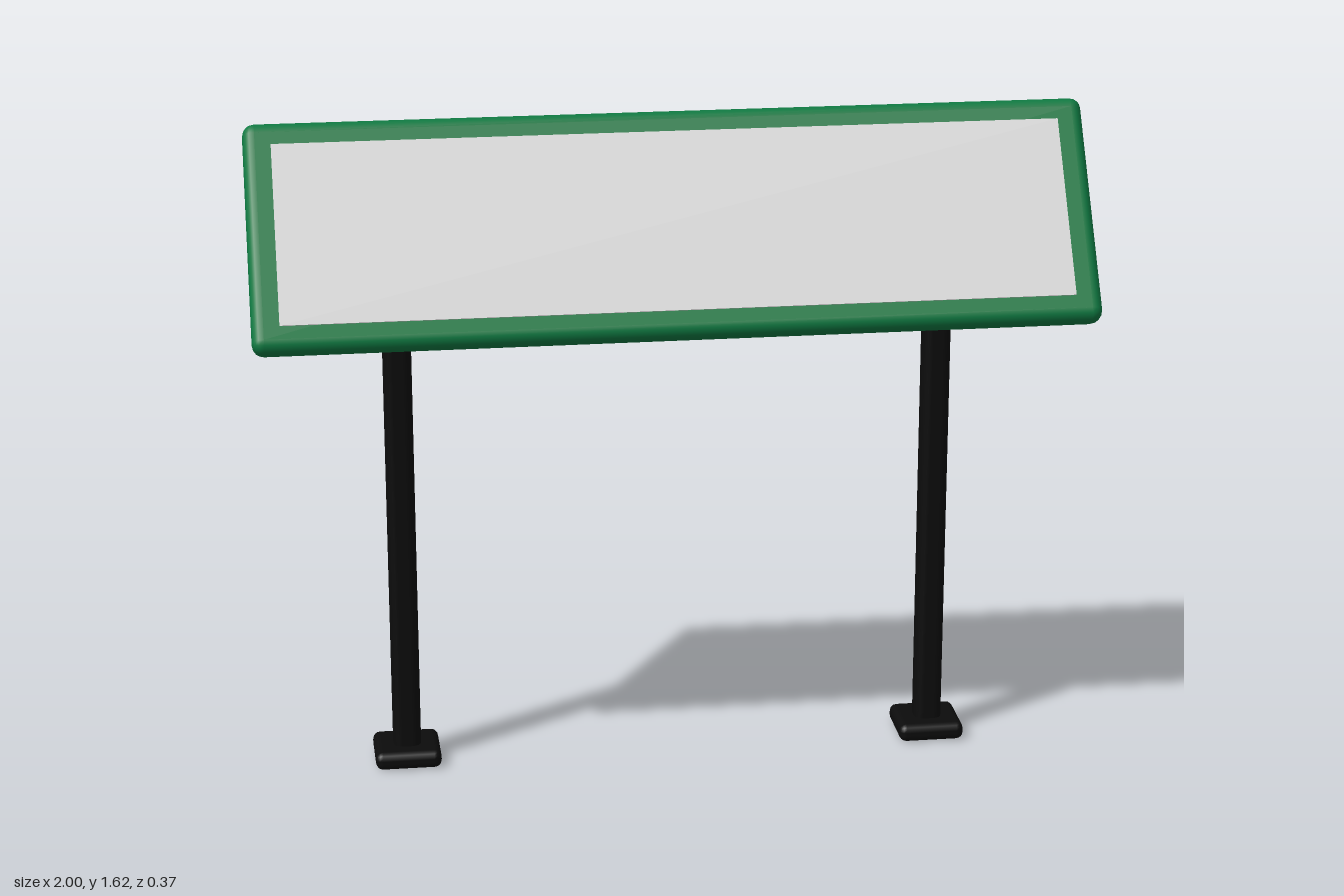
import * as THREE from 'three';
import { RoundedBoxGeometry } from 'three/addons/geometries/RoundedBoxGeometry.js';

const paint = (name, color) => {
  const material = new THREE.MeshStandardMaterial({ color });
  material.name = name;
  return material;
};

export function createModel() {
  const model = new THREE.Group();
  model.name = 'infoSign';

  const green = paint('green', 0x0f7a42);
  const black = paint('black', 0x0c0c0c);
  const paleGrey = paint('paleGrey', 0xdcdcdc);

  const softBox = (parent, name, size, bevel, material, x, y, z) => {
    const mesh = new THREE.Mesh(new RoundedBoxGeometry(...size, 2, bevel), material);
    mesh.name = name;
    mesh.position.set(x, y, z);
    parent.add(mesh);
    return mesh;
  };

  // Board leaning back, with a thin sheet on its front
  const board = new THREE.Group();
  board.name = 'board';
  board.position.set(0, 1.375, 0.006);
  board.rotation.x = THREE.MathUtils.degToRad(-34.2);
  model.add(board);
  softBox(board, 'boardPanel', [2, 0.56, 0.072], 0.028, green, 0, 0, 0);

  const sheet = new THREE.Mesh(new THREE.BoxGeometry(1.87, 0.442, 0.004), paleGrey);
  sheet.name = 'displaySheet';
  sheet.position.z = 0.037;
  board.add(sheet);

  // Two posts, each on a square foot plate
  for (const side of [-1, 1]) {
    const support = new THREE.Group();
    support.name = side > 0 ? 'leftSupport' : 'rightSupport';
    support.position.set(side * 0.655, 0, -0.103);
    model.add(support);
    softBox(support, 'post', [0.068, 1.243, 0.068], 0.022, black, 0, 0.6415, 0);
    softBox(support, 'footPlate', [0.162, 0.044, 0.162], 0.018, black, 0, 0.022, 0);
  }

  return model;
}
